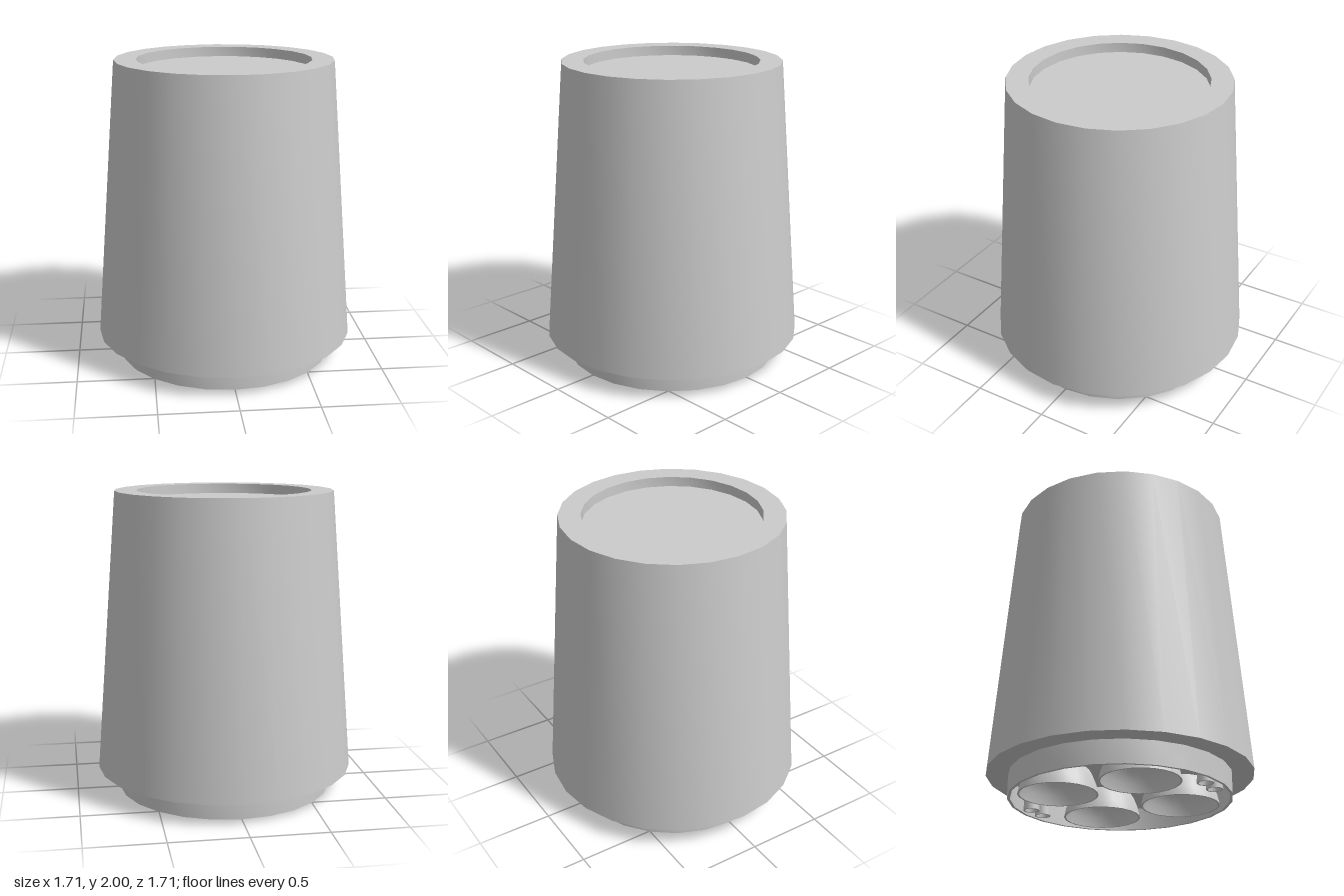
import * as THREE from 'three';
import { toCreasedNormals } from 'three/addons/utils/BufferGeometryUtils.js';

const material = new THREE.MeshStandardMaterial({ color: 0xcccccc });

// Revolved part; profile is [radius, y], with the outer wall running upward
function revolve(name, profile, sides = 24) {
  const points = profile.map(([r, y]) => new THREE.Vector2(r, y));
  const geometry = toCreasedNormals(new THREE.LatheGeometry(points, sides), 0.6);
  const mesh = new THREE.Mesh(geometry, material);
  mesh.name = name;
  return mesh;
}

export function createModel() {
  const model = new THREE.Group();
  model.name = 'engineSection';

  // Tapered hull with a shallow recess in its top
  model.add(revolve('hull', [
    [0.713, 0.15], [0.855, 0.15], [0.713, 2],
    [0.57, 2], [0.57, 1.935], [0, 1.935],
  ]));

  // Thin skirt around the engine bay, closed by the bay ceiling
  model.add(revolve('skirt', [
    [0, 0.15], [0.695, 0.15], [0.695, 0], [0.713, 0], [0.713, 0.15],
  ]));

  // Four main bells on the diagonals
  const bellProfile = [
    [0, 0.235], [0.08, 0.222], [0.15, 0.18], [0.2, 0.12], [0.228, 0.06], [0.241, 0],
    [0.253, 0], [0.24, 0.06], [0.215, 0.12], [0.19, 0.16],
  ];
  for (let i = 0; i < 4; i++) {
    const angle = Math.PI / 4 + i * Math.PI / 2;
    const bell = revolve('mainNozzle', bellProfile);
    bell.position.set(0.405 * Math.sin(angle), 0, 0.405 * Math.cos(angle));
    model.add(bell);
  }

  // Pairs of small nozzles at the front and back
  const smallProfile = [
    [0, 0.12], [0.03, 0.1], [0.042, 0], [0.053, 0], [0.046, 0.16],
  ];
  for (const sx of [-1, 1]) {
    for (const sz of [-1, 1]) {
      const nozzle = revolve('smallNozzle', smallProfile, 16);
      nozzle.position.set(sx * 0.07, 0, sz * 0.616);
      model.add(nozzle);
    }
  }
  return model;
}
